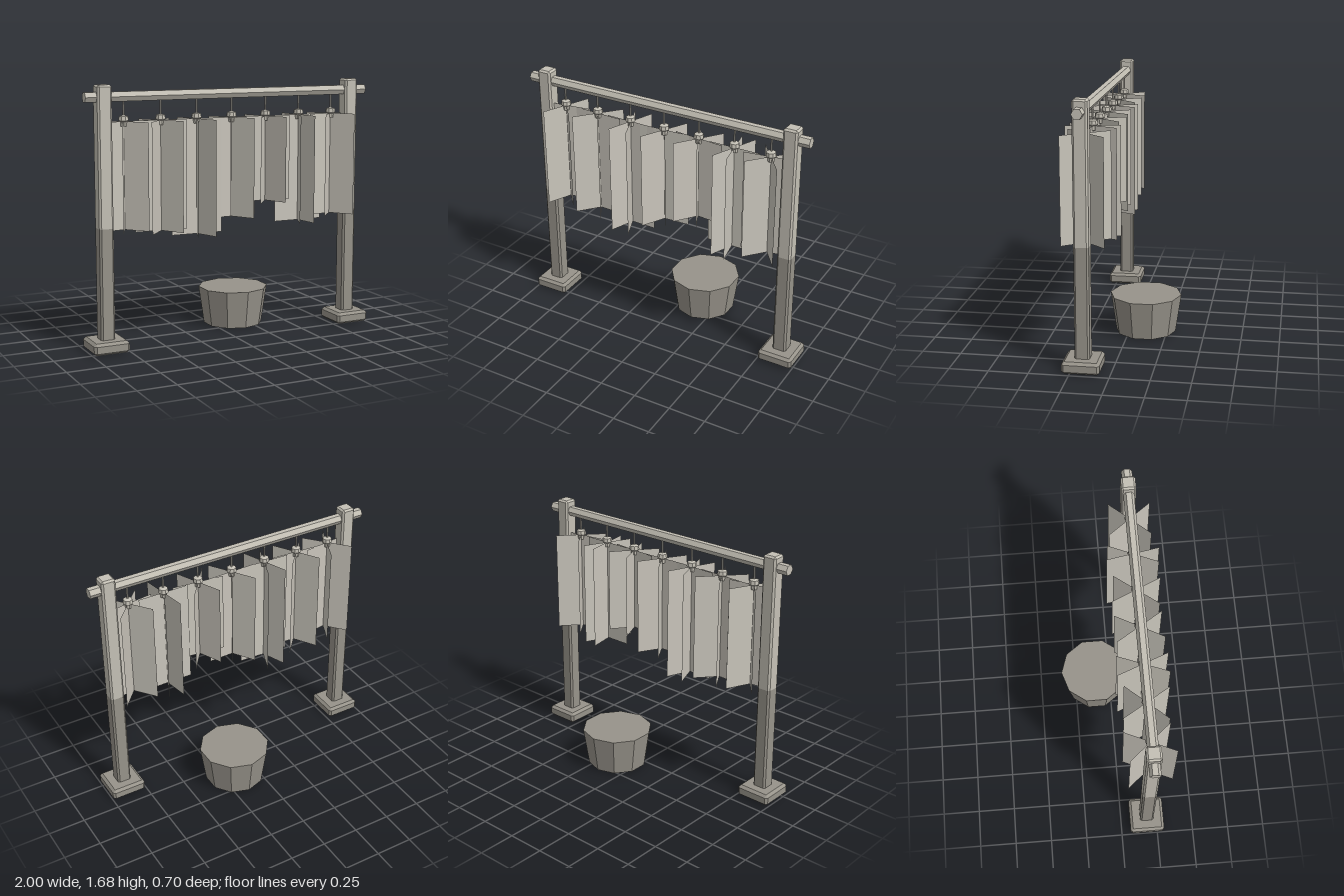
import * as THREE from 'three';
import { ConvexGeometry } from 'three/addons/geometries/ConvexGeometry.js';

const RAIL_Z = 0.18;

function material(name, color, extra = {}) {
  const m = new THREE.MeshStandardMaterial({ color, flatShading: true, ...extra });
  m.name = name;
  return m;
}

// Convex block from square rings [y, half width, corner cut]
function block(rings) {
  const points = [];
  for (const [y, h, c] of rings) {
    for (const sx of [-1, 1]) for (const sz of [-1, 1]) {
      points.push(new THREE.Vector3(sx * h, y, sz * (h - c)));
      if (c > 0) points.push(new THREE.Vector3(sx * (h - c), y, sz * h));
    }
  }
  return new ConvexGeometry(points);
}

export function createModel() {
  const model = new THREE.Group();
  const light = material('pale wood', 0xc4c0b5);
  const dark = material('dark wood', 0x97938a);
  const cloth = material('pale cloth', 0xc9c5bb, { side: THREE.DoubleSide });

  function add(name, geometry, mat, x, y, z, parent = model) {
    const mesh = new THREE.Mesh(geometry, mat);
    mesh.name = name;
    mesh.position.set(x, y, z);
    parent.add(mesh);
    return mesh;
  }

  // Two posts, each with a dark lower half, a pale upper half and a foot
  const foot = block([[0.005, 0.1, 0], [0.02, 0.118, 0.015], [0.065, 0.118, 0.015], [0.082, 0.1, 0]]);
  const lower = block([[0, 0.047, 0.012], [0.79, 0.047, 0.012]]);
  const upper = block([[0.79, 0.047, 0.012], [1.668, 0.047, 0.012], [1.68, 0.035, 0]]);
  for (const [side, x] of [['left', 0.88], ['right', -0.88]]) {
    add(side + 'Foot', foot, dark, x, 0, RAIL_Z);
    add(side + 'LowerPost', lower, dark, x, 0, RAIL_Z);
    add(side + 'UpperPost', upper, light, x, 0, RAIL_Z);
  }

  // Six-sided rail
  const rail = add('rail', new THREE.CylinderGeometry(0.035, 0.035, 2, 6), light, 0, 1.605, RAIL_Z);
  rail.rotation.z = Math.PI / 2;

  // Hanging bundles: bottom height and the angles of the three crossing sheets
  const bundles = [
    [0.77, [-8, 50, 114]],
    [0.745, [3, 59, 131]],
    [0.705, [2, 69, 111]],
    [0.8, [-2, 58, 118]],
    [0.89, [6, 66, 127]],
    [0.74, [0, 80, 113]],
    [0.77, [-8, 53, 131]],
  ];
  const sheetTop = 1.45;
  const rod = new THREE.CylinderGeometry(0.006, 0.006, 0.12, 6);
  const knob = new THREE.LatheGeometry(
    [[0, 1.42], [0.021, 1.42], [0.024, 1.448], [0.034, 1.456], [0.03, 1.482], [0, 1.49]]
      .map(([r, y]) => new THREE.Vector2(r, y)), 8);
  bundles.forEach(([bottom, angles], i) => {
    const bundle = new THREE.Group();
    bundle.name = 'hangingBundle' + (i + 1);
    bundle.position.set((i - 3) * 0.248, 0, RAIL_Z);
    model.add(bundle);
    add('hookRod', rod, light, 0, 1.535, 0, bundle);
    add('hookKnob', knob, light, 0, 0, 0, bundle);
    const sheet = new THREE.PlaneGeometry(0.348, sheetTop - bottom);
    for (const a of angles) {
      const mesh = add('sheet', sheet, cloth, 0, (sheetTop + bottom) / 2, 0, bundle);
      mesh.rotation.y = -THREE.MathUtils.degToRad(a);
    }
  });

  // Ten-sided tub standing behind the rack
  add('tub', new THREE.CylinderGeometry(0.237, 0.2, 0.255, 10), dark, 0.155, 0.1325, -0.107);

  return model;
}
